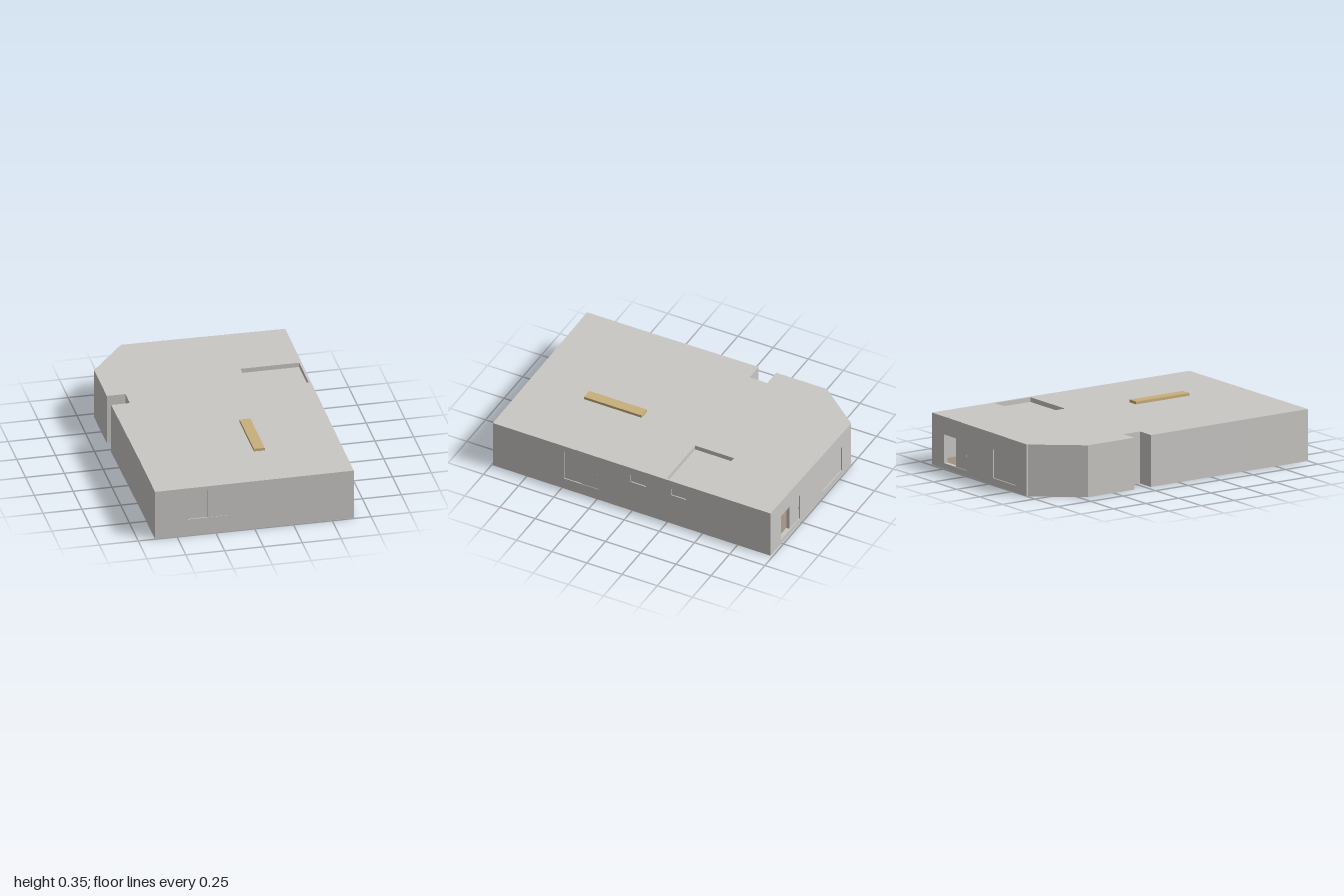
import * as THREE from 'three';

const H = 0.335;   // roof height
const T = 0.012;   // facade thickness

const wall = new THREE.MeshStandardMaterial({ color: 0xc9c7c4, name: 'plasterGrey' });
const floorTan = new THREE.MeshStandardMaterial({ color: 0x9e917f, name: 'floorBrown' });
const wood = new THREE.MeshStandardMaterial({ color: 0xc9b07c, name: 'woodTan' });

// Plan outline of the core, [x, z], starting at the front +x corner
const edgeStart = [[0.628, 0.98], [0.633, -0.973]];
const edgeRest = [[-0.42, -0.988], [-0.65, -0.7], [-0.65, -0.34], [-0.53, -0.34],
  [-0.53, -0.215], [-0.65, -0.215], [-0.642, 0.56], [-0.642, 0.988]];
const outline = [...edgeStart, ...edgeRest];

// Rooms as plan polygons
const rect = (x0, x1, z0, z1) => [[x0, z0], [x1, z0], [x1, z1], [x0, z1]];
const backRoom = [[0.508, -0.96], [0.612, -0.96], [0.612, -0.55], [0.25, -0.55],
  [0.25, -0.485], [0.06, -0.485], [0.06, -0.96], [0.385, -0.96]];
const rooms = [
  rect(0.06, 0.61, 0.7, 0.952),
  [[0.05, 0.677], [0.61, 0.677], [0.61, 0.11], [0.25, 0.11], [0.25, 0.02], [0.05, 0.02]],
  rect(0.262, 0.612, -0.245, 0.085),
  rect(0.262, 0.612, -0.525, -0.27),
];
const roofWell = rect(0.25, 0.628, -0.515, -0.24);
// Core outline with the open back window joined to the back room
const openOutline = [...edgeStart, [0.508, -0.975], ...backRoom, [0.385, -0.977], ...edgeRest];

const toPoints = (plan) => plan.map(([x, z]) => new THREE.Vector2(x, -z));

function add(parent, geometry, material, name) {
  const mesh = new THREE.Mesh(geometry, material);
  mesh.name = name;
  parent.add(mesh);
  return mesh;
}

// Horizontal layer of a plan, between two heights
function layer(plan, holes, y0, y1) {
  const shape = new THREE.Shape(toPoints(plan));
  holes.forEach((h) => shape.holes.push(new THREE.Path(toPoints(h))));
  const g = new THREE.ExtrudeGeometry(shape, { depth: y1 - y0, bevelEnabled: false });
  return g.rotateX(-Math.PI / 2).translate(0, y0, 0);
}

// Thin outer wall from p0 to p1 with window holes and recessed sliding panes
function facade(name, p0, p1, windows) {
  const group = new THREE.Group();
  group.name = name;
  const dx = p1[0] - p0[0], dz = p1[1] - p0[1], len = Math.hypot(dx, dz);
  const shape = new THREE.Shape([[0, 0], [len, 0], [len, H], [0, H]].map((p) => new THREE.Vector2(...p)));
  for (const { u, y, w, h, panes } of windows) {
    const hole = [[u, y], [u, y + h], [u + w, y + h], [u + w, y]];
    shape.holes.push(new THREE.Path(hole.map((p) => new THREE.Vector2(...p))));
    const pw = w / panes.length;
    panes.forEach((back, i) => {
      if (back === null) return; // slid open
      const pane = new THREE.BoxGeometry(pw, h, 0.004);
      add(group, pane, wall, 'windowPane').position.set(u + pw * (i + 0.5), y + h / 2, -back - 0.002);
    });
    if (panes.length > 1) {
      add(group, new THREE.BoxGeometry(0.004, 0.02, 0.004), wall, 'windowHandle')
        .position.set(u + w - 0.01, y + h / 2, -panes[1]);
    }
  }
  const g = new THREE.ExtrudeGeometry(shape, { depth: T, bevelEnabled: false }).translate(0, 0, -T);
  add(group, g, wall, 'wallPlate');
  group.position.set(p0[0], 0, p0[1]);
  group.rotation.y = Math.atan2(-dz, dx);
  return group;
}

export function createModel() {
  const model = new THREE.Group();
  model.name = 'apartmentBlock';

  // Core walls in layers, roof slab and sunken roof well
  const closed = [...rooms, backRoom];
  add(model, layer(outline, closed, 0, 0.035), wall, 'baseWalls');
  add(model, layer(openOutline, rooms, 0.035, 0.22), wall, 'middleWalls');
  add(model, layer(outline, closed, 0.22, 0.295), wall, 'upperWalls');
  add(model, layer(outline, [], 0.295, 0.305), wall, 'ceiling');
  add(model, layer(outline, [roofWell], 0.305, H), wall, 'roof');

  // Room floors
  closed.forEach((r) => add(model, layer(r, [], 0.025, 0.035), floorTan, 'roomFloor'));

  // Facades
  model.add(facade('frontFacade', [-0.642, 1], [0.64, 0.992], [
    { u: 0.212, y: 0.115, w: 0.258, h: 0.192, panes: [0.007, 0.003] },
  ]));
  model.add(facade('leftFacade', [0.64, 0.992], [0.645, -0.985], [
    { u: 0.506, y: 0.08, w: 0.25, h: 0.215, panes: [0.007, 0.003] },
    { u: 0.98, y: 0.225, w: 0.11, h: 0.053, panes: [0.007] },
    { u: 1.268, y: 0.225, w: 0.108, h: 0.05, panes: [0.007] },
  ]));
  model.add(facade('backFacade', [0.645, -0.985], [-0.41, -1], [
    { u: 0.137, y: 0.035, w: 0.246, h: 0.185, panes: [null, 0.006] },
    { u: 0.679, y: 0.045, w: 0.253, h: 0.185, panes: [0.007, 0.007] },
  ]));

  // Plank on the roof
  add(model, new THREE.BoxGeometry(0.07, 0.018, 0.41), wood, 'roofPlank').position.set(0.12, H + 0.009, 0.395);
  return model;
}
